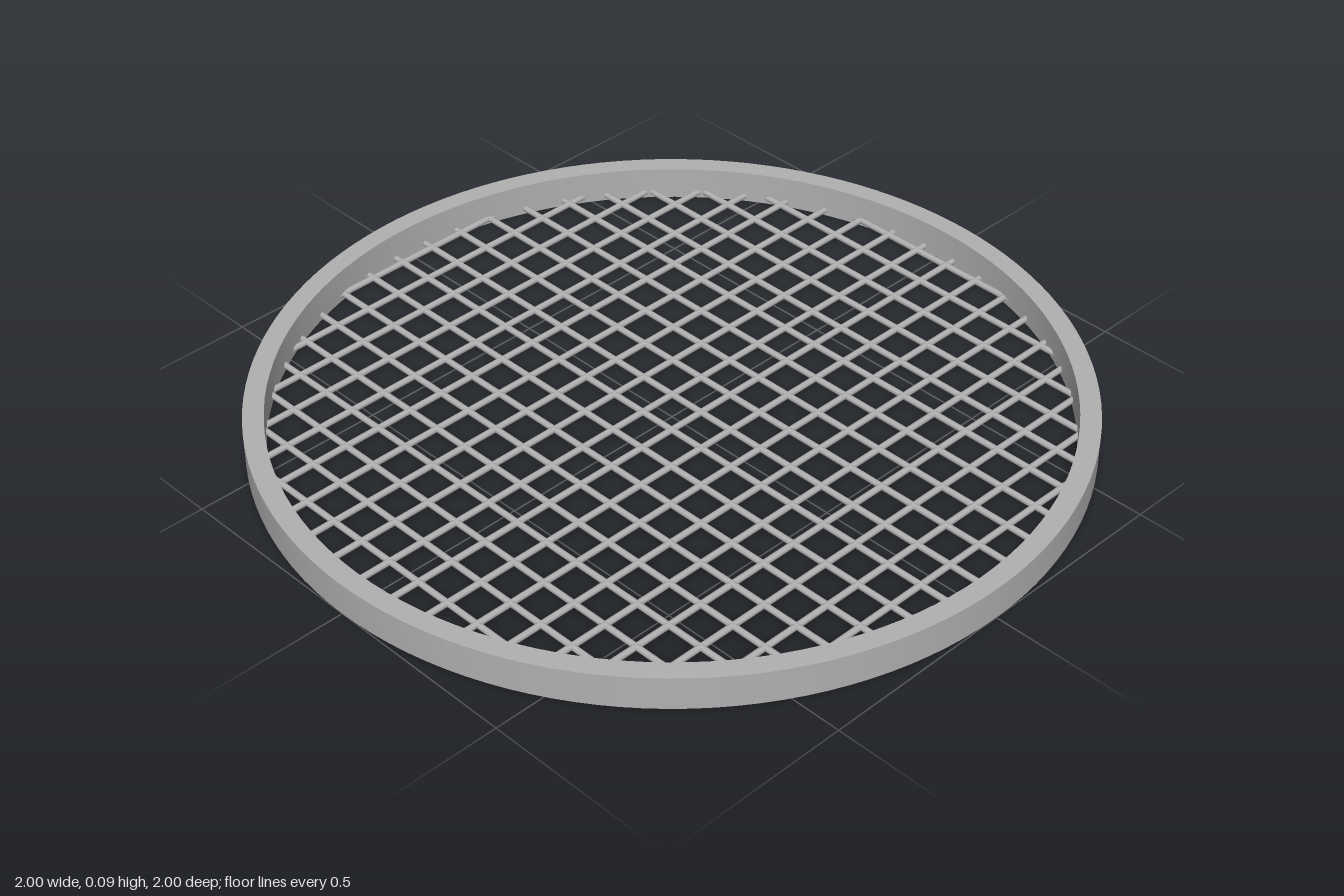
import * as THREE from 'three';
import { toCreasedNormals } from 'three/addons/utils/BufferGeometryUtils.js';

const OUTER = 1, INNER = 0.95, HEIGHT = 0.085;
const SPACING = 0.097, WIRE_RADIUS = 0.008, WIRE_Y = 0.014, WIRES = 20;

export function createModel() {
  const group = new THREE.Group();
  group.name = 'roundMeshScreen';
  const steel = new THREE.MeshStandardMaterial({ color: 0xb0b0b0 });
  steel.name = 'steel grey';

  // Rectangular-section hoop
  const profile = [[INNER, 0], [OUTER, 0], [OUTER, HEIGHT], [INNER, HEIGHT], [INNER, 0]]
    .map(([r, y]) => new THREE.Vector2(r, y));
  const rim = new THREE.Mesh(toCreasedNormals(new THREE.LatheGeometry(profile, 128), 0.6), steel);
  rim.name = 'rim';
  group.add(rim);

  // Crossing wires, each cut to the chord of the hoop
  const mesh = new THREE.Group();
  mesh.name = 'wireMesh';
  group.add(mesh);
  for (let i = 0; i < WIRES; i++) {
    const offset = (i - (WIRES - 1) / 2) * SPACING;
    const r = INNER + 0.008;
    const length = 2 * Math.sqrt(r * r - offset * offset);
    const geometry = new THREE.CylinderGeometry(WIRE_RADIUS, WIRE_RADIUS, length, 10);

    const across = new THREE.Mesh(geometry, steel);
    across.name = 'crossWire';
    across.rotation.z = Math.PI / 2;
    across.position.set(0, WIRE_Y, offset);

    const along = new THREE.Mesh(geometry, steel);
    along.name = 'lengthWire';
    along.rotation.x = Math.PI / 2;
    along.position.set(offset, WIRE_Y, 0);
    mesh.add(across, along);
  }
  return group;
}
